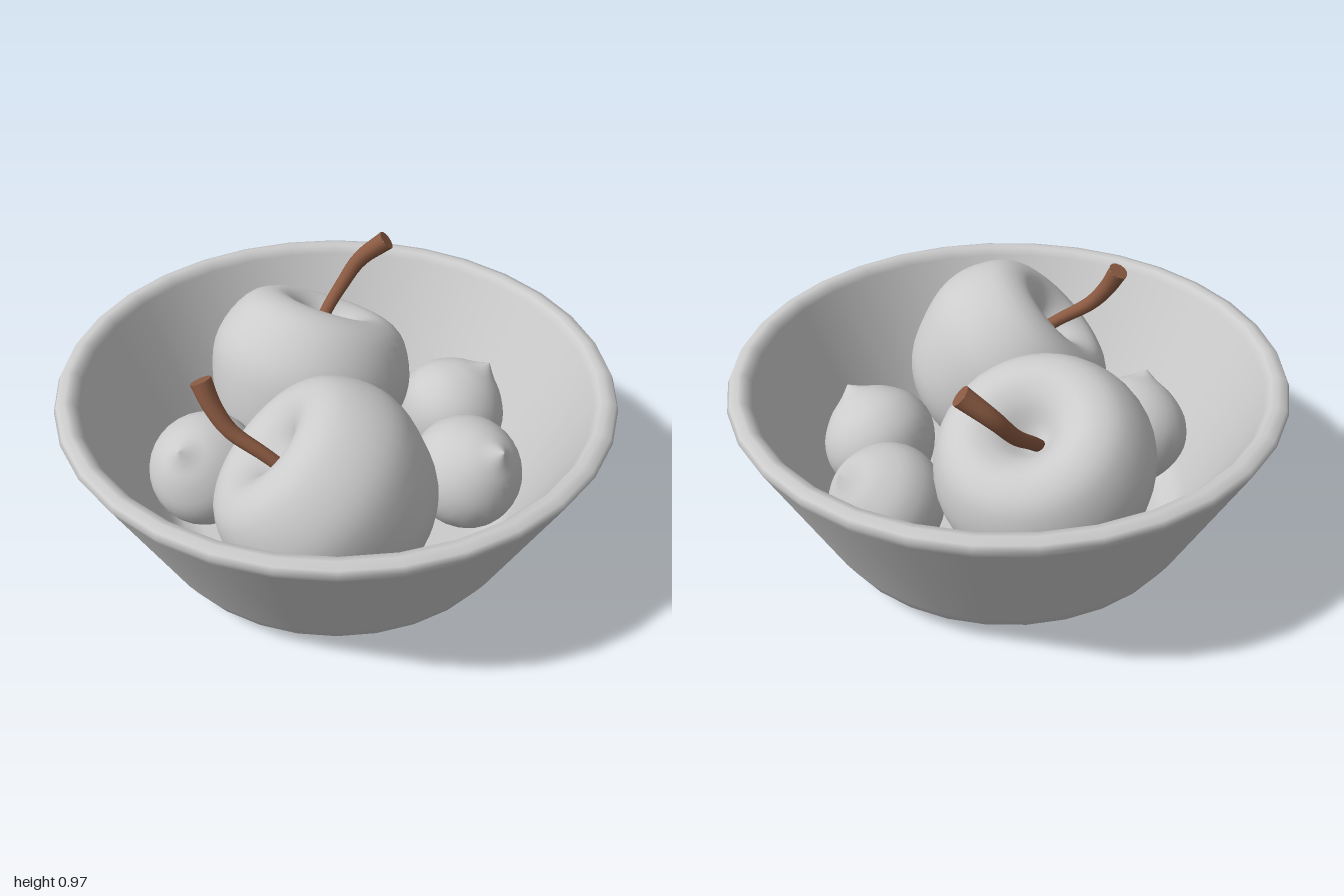
import * as THREE from 'three';

const grey = new THREE.MeshStandardMaterial({ color: 0xcccccc });
const brown = new THREE.MeshStandardMaterial({ color: 0x8b5a42 });
const UP = new THREE.Vector3(0, 1, 0);

// Turned solid from [radius, height] points, smoothed by a spline when steps > 0
function turned(name, points, segments, steps = 0) {
  let profile = points.map(([r, y]) => new THREE.Vector2(r, y));
  if (steps) {
    profile = new THREE.SplineCurve(profile).getPoints(steps);
    profile.forEach((p) => { p.x = Math.max(p.x, 0); });
  }
  const mesh = new THREE.Mesh(new THREE.LatheGeometry(profile, segments), grey);
  mesh.name = name;
  return mesh;
}

function place(mesh, position, axis) {
  mesh.position.set(...position);
  mesh.quaternion.setFromUnitVectors(UP, new THREE.Vector3(...axis).normalize());
  return mesh;
}

// Curved stem that widens from its root to a flat cut tip
function stem(name, points, rootRadius = 0.023, tipRadius = 0.038) {
  const group = new THREE.Group();
  group.name = name;
  const curve = new THREE.CatmullRomCurve3(points.map((p) => new THREE.Vector3(...p)));
  const rings = 16, sides = 12;
  const tube = new THREE.TubeGeometry(curve, rings, 1, sides);
  const pos = tube.attributes.position;
  const v = new THREE.Vector3();
  for (let i = 0; i < pos.count; i++) {
    const t = Math.floor(i / (sides + 1)) / rings;
    const centre = curve.getPointAt(t);
    v.fromBufferAttribute(pos, i).sub(centre);
    v.multiplyScalar(THREE.MathUtils.lerp(rootRadius, tipRadius, t * t)).add(centre);
    pos.setXYZ(i, v.x, v.y, v.z);
  }
  const shaft = new THREE.Mesh(tube, brown);
  shaft.name = name + 'Shaft';
  const tip = new THREE.Mesh(new THREE.CircleGeometry(tipRadius, sides), brown);
  tip.name = name + 'Tip';
  tip.position.copy(curve.getPointAt(1));
  tip.quaternion.setFromUnitVectors(new THREE.Vector3(0, 0, 1), curve.getTangentAt(1));
  group.add(shaft, tip);
  return group;
}

export function createModel() {
  const model = new THREE.Group();
  model.name = 'fruitBowl';

  // Bowl: flat foot, rounded heel, flared wall, rounded rim and hollow inside
  model.add(turned('bowl', [
    [0, 0], [0.54, 0], [0.59, 0.012], [0.65, 0.04], [0.7, 0.09], [0.735, 0.15],
    [0.985, 0.65], [1, 0.68], [0.99, 0.7], [0.96, 0.71], [0.935, 0.705], [0.915, 0.68],
    [0.68, 0.19], [0.645, 0.13], [0.6, 0.095], [0.53, 0.08], [0, 0.08],
  ], 32));

  // Apples with a deep dimple around the stem
  const appleProfile = [
    [0, -0.28], [0.09, -0.32], [0.2, -0.305], [0.31, -0.2], [0.385, 0], [0.38, 0.14],
    [0.31, 0.27], [0.21, 0.315], [0.12, 0.285], [0.05, 0.215], [0, 0.18],
  ];
  const apples = [
    {
      name: 'frontApple', position: [-0.285, 0.465, 0.26], axis: [-0.48, 0.7, -0.52],
      stem: [[-0.4, 0.58, 0.19], [-0.45, 0.65, 0.11], [-0.51, 0.73, 0.01], [-0.53, 0.81, -0.05], [-0.535, 0.895, -0.095]],
    },
    {
      name: 'backApple', position: [0.14, 0.45, -0.3], axis: [0.45, 0.87, -0.04],
      stem: [[0.21, 0.6, -0.325], [0.3, 0.68, -0.35], [0.39, 0.755, -0.355], [0.465, 0.85, -0.33], [0.53, 0.94, -0.25]],
    },
  ];
  for (const a of apples) {
    model.add(place(turned(a.name, appleProfile, 40, 36), a.position, a.axis));
    model.add(stem(a.name + 'Stem', a.stem));
  }

  // Small round fruits that draw up to a point
  const smallProfile = [
    [0, -0.2], [0.1, -0.18], [0.18, -0.1], [0.215, 0], [0.19, 0.1], [0.12, 0.175], [0.05, 0.215], [0, 0.25],
  ];
  const smallFruits = [
    [[-0.395, 0.32, -0.29], [-0.14, 0.18, 0.04]],
    [[0.52, 0.32, 0.125], [0.15, 0.18, 0.06]],
    [[0.27, 0.32, 0.41], [0, 0.18, 0.16]],
  ];
  smallFruits.forEach(([position, axis], i) => {
    model.add(place(turned('smallFruit' + (i + 1), smallProfile, 28, 24), position, axis));
  });

  return model;
}
